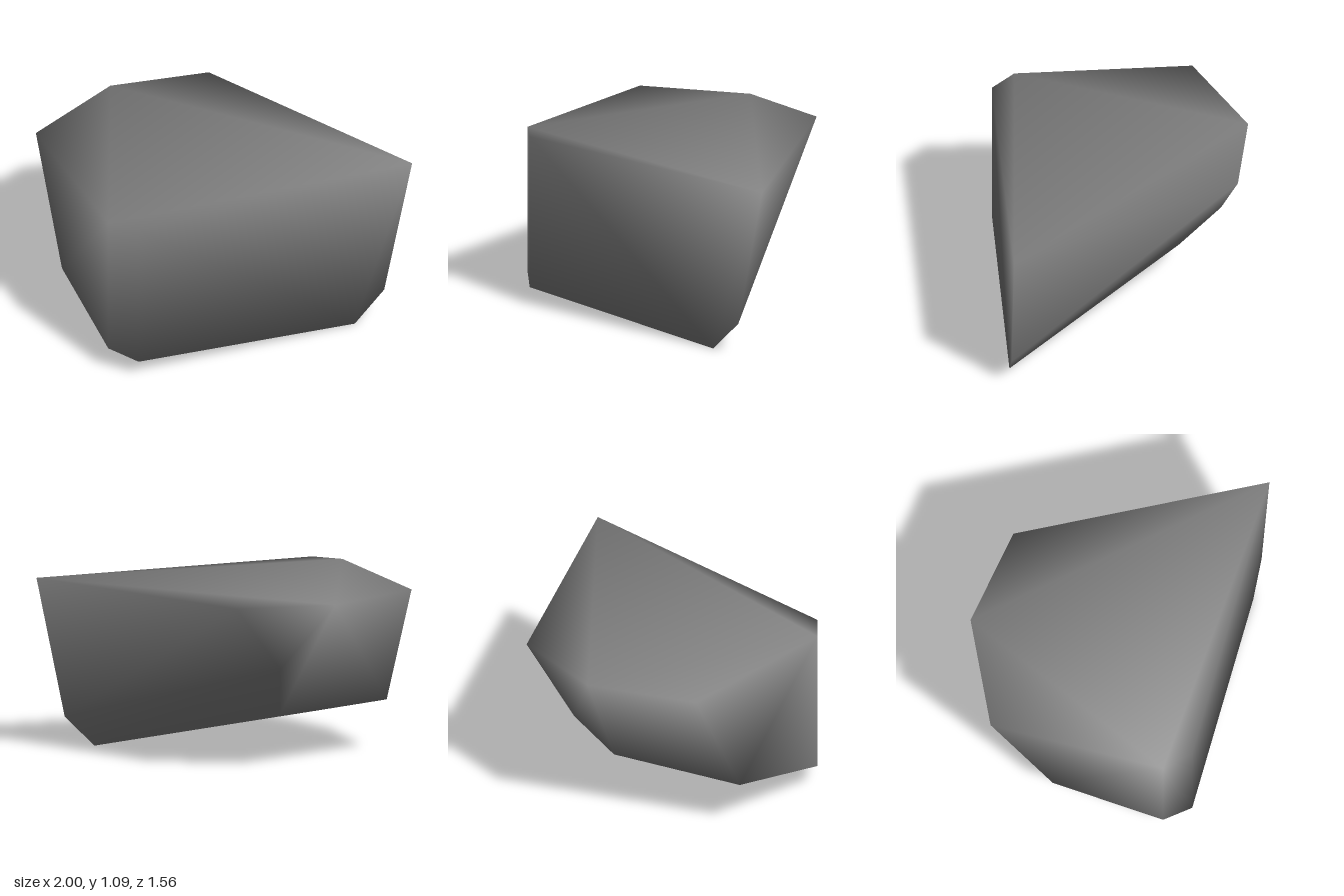
import * as THREE from 'three';
import { ConvexGeometry } from 'three/addons/geometries/ConvexGeometry.js';
import { mergeVertices } from 'three/addons/utils/BufferGeometryUtils.js';

const TOP = 1.09;

export function createModel() {
  const group = new THREE.Group();
  group.name = 'rockChunk';
  const stone = new THREE.MeshStandardMaterial({ color: 0x808080 });
  stone.name = 'grey stone';

  // Outline of the flat top, as x, z
  const rim = [[1, 0.78], [-0.86, 0.78], [-1, 0.63], [-1, -0.48], [-0.36, -0.78], [0.26, -0.67]];

  // Corners of the sloping underside and back
  const lower = [
    [0.61, 0, 0.78], [0.81, 0.2, 0.78], [-0.86, 0.11, 0.78], [-1, 0.157, 0.63],
    [-1, 0.325, -0.08], [-0.17, 0.325, -0.335], [-0.07, 0.67, -0.59],
  ];

  const corners = [
    ...rim.map(([x, z]) => new THREE.Vector3(x, TOP, z)),
    ...lower.map((p) => new THREE.Vector3(...p)),
  ];

  // Shared corners give the facets smooth normals
  const hull = new ConvexGeometry(corners);
  hull.deleteAttribute('normal');
  const geometry = mergeVertices(hull, 1e-4);
  geometry.computeVertexNormals();

  const rock = new THREE.Mesh(geometry, stone);
  rock.name = 'rock';
  group.add(rock);
  return group;
}
